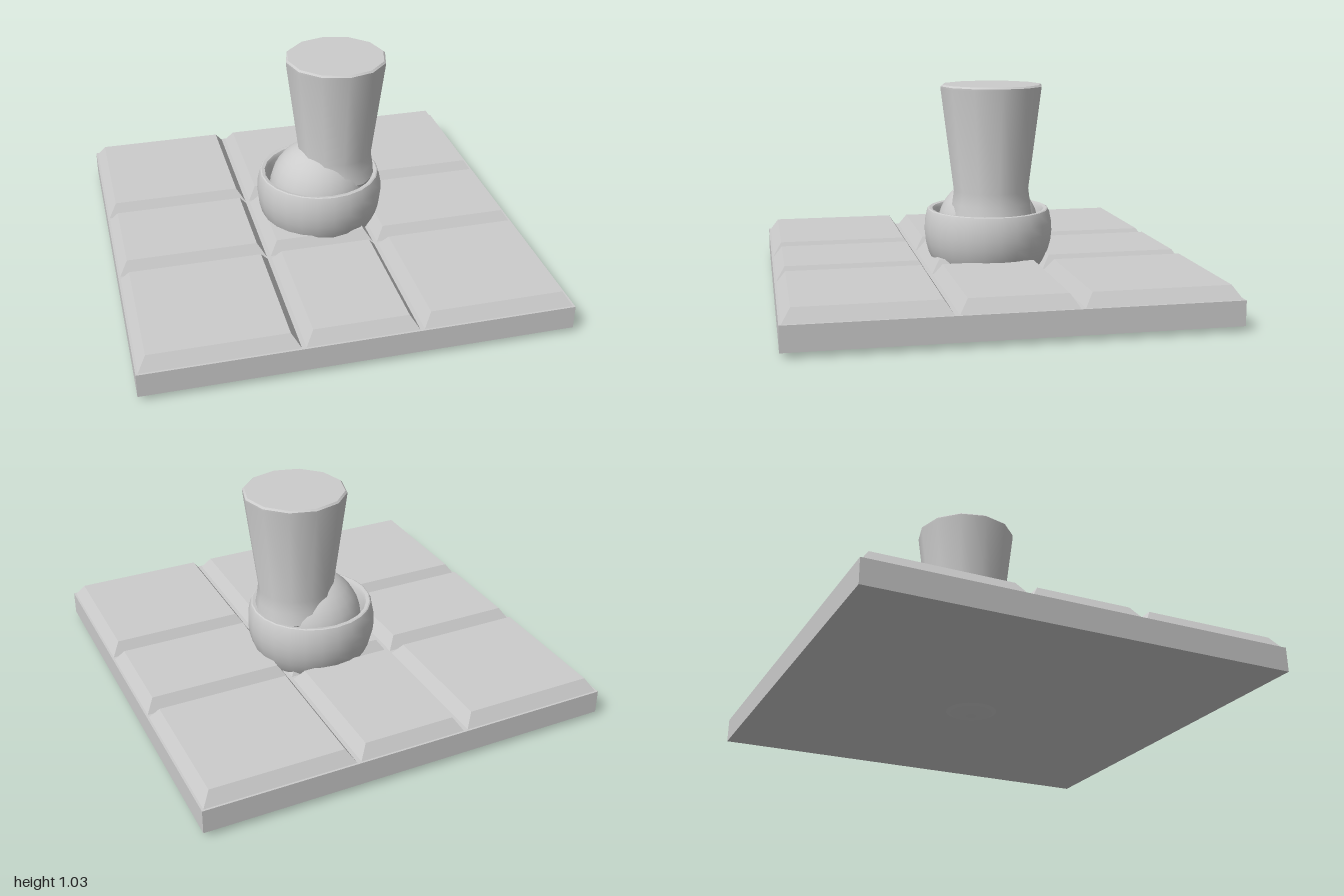
import * as THREE from 'three';
import { toCreasedNormals } from 'three/addons/utils/BufferGeometryUtils.js';

const material = new THREE.MeshStandardMaterial({ color: 0xcccccc });

function addMesh(parent, name, geometry, x = 0, y = 0, z = 0) {
  const mesh = new THREE.Mesh(geometry, material);
  mesh.name = name;
  mesh.position.set(x, y, z);
  parent.add(mesh);
  return mesh;
}

// Box whose top is drawn in on all sides to form bevels
function bevelledTile(width, height, depth, inset) {
  const geometry = new THREE.BoxGeometry(width, height, depth);
  const p = geometry.attributes.position;
  for (let i = 0; i < p.count; i++) {
    if (p.getY(i) < 0) continue;
    p.setX(i, p.getX(i) - Math.sign(p.getX(i)) * inset);
    p.setZ(i, p.getZ(i) - Math.sign(p.getZ(i)) * inset);
  }
  const flat = geometry.toNonIndexed();
  flat.computeVertexNormals();
  return flat;
}

function turned(points, sides) {
  const profile = points.map(([r, y]) => new THREE.Vector2(r, y));
  return toCreasedNormals(new THREE.LatheGeometry(profile, sides), 0.6);
}

export function createModel() {
  const group = new THREE.Group();

  // Square base slab
  addMesh(group, 'baseSlab', new THREE.BoxGeometry(2, 0.115, 2), 0, 0.0825, 0);

  // Three by three bevelled tiles separated by grooves
  const tiles = new THREE.Group();
  tiles.name = 'tiles';
  group.add(tiles);
  const spans = [[-0.99, -0.28], [-0.26, 0.26], [0.28, 0.99]];
  for (const [x0, x1] of spans) {
    for (const [z0, z1] of spans) {
      addMesh(tiles, 'tile', bevelledTile(x1 - x0, 0.06, z1 - z0, 0.04),
        (x0 + x1) / 2, 0.17, (z0 + z1) / 2);
    }
  }

  // Round cup sunk through the slab, open at the top
  const cupProfile = [];
  const radius = 0.314;
  for (let i = 0; i <= 12; i++) {
    const a = -Math.PI / 2 + (i / 12) * (Math.PI / 2 + 0.28);
    cupProfile.push([Math.max(0, radius * Math.cos(a)), radius + radius * Math.sin(a)]);
  }
  cupProfile.push([0.296, 0.415], [0.29, 0.418], [0.274, 0.415], [0.265, 0.4], [0.258, 0.32], [0.235, 0.3]);
  addMesh(group, 'socketCup', turned(cupProfile, 24), 0.06, 0, -0.05);

  // Ball seated in the cup
  addMesh(group, 'ball', new THREE.SphereGeometry(0.25, 24, 16), 0.06, 0.32, -0.05);

  // Flared leg rising off-centre from the ball
  const legProfile = [
    [0, 0.34], [0.17, 0.34], [0.202, 0.4], [0.192, 0.46], [0.184, 0.52],
    [0.247, 1.01], [0.247, 1.02], [0.238, 1.028], [0, 1.028],
  ];
  addMesh(group, 'leg', turned(legProfile, 12), 0.142, 0, -0.05);

  return group;
}
